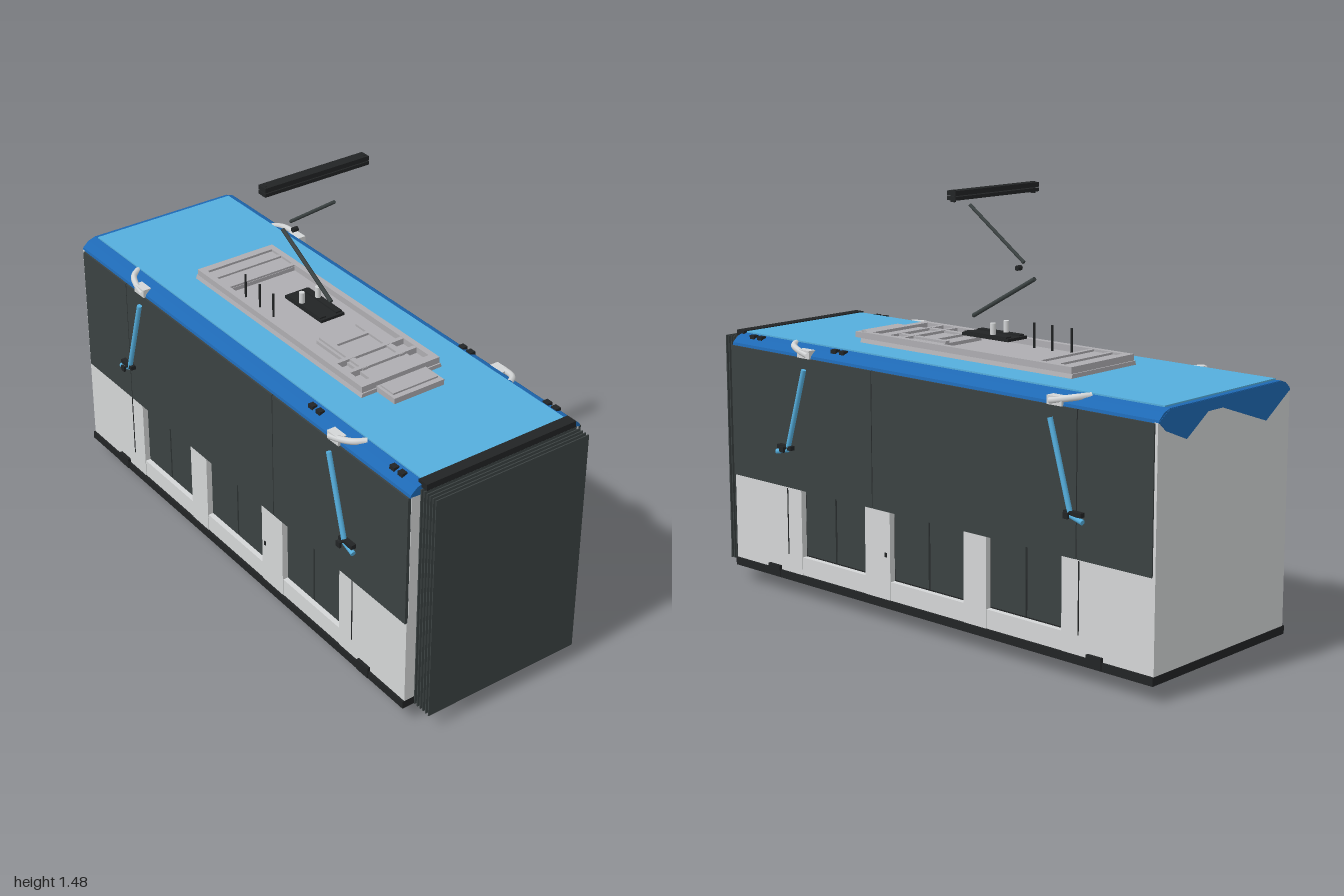
import * as THREE from 'three';

const mat = (name, color) => {
  const m = new THREE.MeshStandardMaterial({ color });
  m.name = name;
  return m;
};

export function createModel() {
  const root = new THREE.Group();
  root.name = 'tramSection';
  const white = mat('bodyWhite', 0xd4d6d7);
  const glass = mat('darkGlass', 0x3b4242);
  const black = mat('blackTrim', 0x222425);
  const sky = mat('lightBlue', 0x55aedd);
  const blue = mat('deepBlue', 0x1e69b4);
  const grey = mat('roofUnitGrey', 0xaeadb1);

  const add = (name, geo, material, parent = root) => {
    const m = new THREE.Mesh(geo, material);
    m.name = name;
    parent.add(m);
    return m;
  };
  // Box given by its extents on each axis
  const box = (name, material, x0, x1, y0, y1, z0, z1, parent = root) => {
    const g = new THREE.BoxGeometry(Math.abs(x1 - x0), y1 - y0, z1 - z0);
    g.translate((x0 + x1) / 2, (y0 + y1) / 2, (z0 + z1) / 2);
    return add(name, g, material, parent);
  };
  // Round bar between two points
  const bar = (name, material, a, b, r, parent = root) => {
    const p = new THREE.Vector3(...a), q = new THREE.Vector3(...b);
    const m = add(name, new THREE.CylinderGeometry(r, r, p.distanceTo(q), 10), material, parent);
    m.position.copy(p).lerp(q, 0.5);
    m.quaternion.setFromUnitVectors(new THREE.Vector3(0, 1, 0), q.sub(p).normalize());
    return m;
  };
  // Profile in x/y, extruded along z
  const extrude = (pts, z0, z1) => {
    const s = new THREE.Shape(pts.map(p => new THREE.Vector2(...p)));
    return new THREE.ExtrudeGeometry(s, { depth: z1 - z0, bevelEnabled: false }).translate(0, 0, z0);
  };

  // Body core, rear wall, skirt and floor
  box('bodyCore', white, -0.31, 0.31, 0.07, 0.885, -0.99, 0.918);
  box('rearWall', white, -0.338, 0.338, 0.08, 0.87, -0.998, -0.985);
  box('skirt', black, -0.345, 0.345, 0.057, 0.085, -1, 0.92);
  box('floor', blue, -0.33, 0.33, 0.052, 0.058, -0.985, 0.9);

  // Roof shell with sloped shoulders and a lighter top sheet
  const roof = [[-0.337, 0.868], [0.337, 0.868], [0.335, 0.878], [0.312, 0.898], [0.285, 0.907],
    [-0.285, 0.907], [-0.312, 0.898], [-0.335, 0.878]];
  add('roofShell', extrude(roof, -1, 0.92), blue);
  box('roofTop', sky, -0.283, 0.283, 0.904, 0.912, -0.98, 0.91);
  box('roofFrontSeal', black, -0.295, 0.295, 0.893, 0.915, 0.905, 0.945);
  // Jagged blue edge on the rear wall
  add('rearJaggedTrim', extrude([[-0.337, 0.872], [-0.21, 0.79], [0.07, 0.885], [0.2, 0.8],
    [0.3, 0.84], [0.337, 0.872], [0.285, 0.905], [-0.285, 0.905]], -1.001, -0.997), blue);

  // Sides, mirrored
  const doors = [[0.25, 0.57], [-0.21, 0.13], [-0.63, -0.31]];
  const panels = [[0.57, 0.92], [0.13, 0.25], [-0.31, -0.21], [-0.99, -0.63]];
  for (const s of [1, -1]) {
    const side = new THREE.Group();
    side.name = s > 0 ? 'leftSide' : 'rightSide';
    root.add(side);
    const sbox = (n, m, x0, x1, ...r) => box(n, m, s * x0, s * x1, ...r, side);

    for (const [a, b] of panels) sbox('lowerPanel', white, 0.3, 0.338, 0.085, 0.395, a, b);
    sbox('frontPost', white, 0.3, 0.332, 0.085, 0.87, 0.9, 0.92);
    for (const [a, b] of [[0.21, 0.918], [-0.69, 0.206], [-0.988, -0.694]])
      sbox('windowBand', glass, 0.3, 0.343, 0.395, 0.868, a, b);
    sbox('windowSeam', black, 0.3, 0.34, 0.4, 0.866, -0.985, 0.9);

    // Recessed double doors
    for (const [a, b] of doors) {
      sbox('doorSill', white, 0.3, 0.336, 0.085, 0.15, a, b);
      sbox('doorFrame', black, 0.3, 0.316, 0.15, 0.4, a, b);
      const mid = (a + b) / 2;
      sbox('doorLeaf', glass, 0.3, 0.322, 0.157, 0.4, a + 0.008, mid - 0.004);
      sbox('doorLeaf', glass, 0.3, 0.322, 0.157, 0.4, mid + 0.004, b - 0.008);
    }
    sbox('doorButton', black, 0.336, 0.341, 0.235, 0.25, 0.145, 0.153);

    // Mirror arms, mirrors, steps and curved roof rails at both ends
    for (const [z, d] of [[0.53, 1], [-0.59, -1]]) {
      const arm = [[0.352, 0.83, z], [0.354, 0.535, z + d * 0.088], [0.358, 0.522, z + d * 0.14]]
        .map(p => [s * p[0], p[1], p[2]]);
      bar('mirrorArm', sky, arm[0], arm[1], 0.009, side);
      bar('mirrorFoot', sky, arm[1], arm[2], 0.009, side);
      sbox('mirrorMount', black, 0.34, 0.362, 0.535, 0.55, z + d * 0.1 - 0.035, z + d * 0.1 + 0.035);
      bar('mirrorPin', black, [s * 0.34, 0.543, z + d * 0.09], [s * 0.383, 0.543, z + d * 0.09], 0.005, side);
      sbox('mirrorTip', black, 0.375, 0.383, 0.53, 0.55, z + d * 0.09 - 0.01, z + d * 0.09 + 0.01);
      sbox('step', black, 0.335, 0.349, 0.06, 0.1, z + d * 0.13 + d * 0.05 - 0.03, z + d * 0.18 + 0.03);
      sbox('panelSeam', black, 0.337, 0.3395, 0.15, 0.39, z + d * 0.11 - 0.002, z + d * 0.11 + 0.002);

      const curve = new THREE.CatmullRomCurve3([[0.285, 0.903, z + d * 0.11], [0.318, 0.9, z + d * 0.085],
        [0.335, 0.892, z + d * 0.045], [0.342, 0.88, z - d * 0.01]]
        .map(p => new THREE.Vector3(s * p[0], p[1], p[2])));
      add('roofRail', new THREE.TubeGeometry(curve, 16, 0.011, 8), white, side);
      sbox('roofRailBracket', white, 0.31, 0.345, 0.868, 0.897, z + d * 0.01 - 0.03, z + d * 0.01 + 0.03);
    }
    for (const z of [0.84, 0.8, 0.42, 0.38]) sbox('roofLamp', black, 0.295, 0.315, 0.893, 0.909, z - 0.012, z + 0.012);

    // Wheels showing below the floor
    for (const z of [0.21, -0.28]) {
      const wheel = add('wheel', new THREE.CylinderGeometry(0.092, 0.092, 0.036, 32).rotateZ(Math.PI / 2), glass, side);
      wheel.position.set(s * 0.192, 0.1, z);
      const flange = add('wheelFlange', new THREE.CylinderGeometry(0.1, 0.1, 0.01, 32).rotateZ(Math.PI / 2), black, side);
      flange.position.set(s * 0.173, 0.1, z);
    }
  }

  // Concertina sheets of the front gangway
  for (let i = 0; i < 6; i++) {
    const z = 0.926 + i * 0.0142;
    box('gangwaySheet', glass, -0.302, 0.302, 0.06, 0.89, z - 0.002, z + 0.002);
  }

  // Roof equipment tray with rim and cross ribs
  const unit = new THREE.Group();
  unit.name = 'roofUnit';
  root.add(unit);
  const foot = [[-0.163, 0.91], [0.163, 0.91], [0.158, 0.926], [-0.158, 0.926]];
  add('unitBase', extrude(foot, -0.515, 0.445), grey, unit);
  for (const s of [1, -1]) box('unitRim', grey, s * 0.135, s * 0.157, 0.92, 0.948, -0.5, 0.43, unit);
  for (const z of [-0.495, 0.425]) box('unitEnd', grey, -0.157, 0.157, 0.92, 0.948, z - 0.015, z + 0.015, unit);
  box('rearCover', grey, -0.14, 0.14, 0.92, 0.94, -0.49, -0.34, unit);
  for (const z of [-0.43, -0.35, 0.27, 0.34]) box('unitRib', grey, -0.14, 0.14, 0.92, 0.947, z - 0.008, z + 0.008, unit);
  box('frontCover', grey, -0.095, 0.095, 0.92, 0.938, 0.11, 0.43, unit);
  for (const x of [-0.075, 0.075]) box('coverRail', grey, x - 0.01, x + 0.01, 0.92, 0.946, 0.11, 0.35, unit);
  box('coverRib', grey, -0.085, 0.085, 0.92, 0.946, 0.165, 0.18, unit);
  box('unitNose', grey, -0.1, 0.1, 0.91, 0.932, 0.44, 0.535, unit);
  box('unitNoseRim', grey, -0.09, 0.09, 0.93, 0.938, 0.45, 0.515, unit);

  // Current collector
  const pan = new THREE.Group();
  pan.name = 'currentCollector';
  root.add(pan);
  box('collectorPlate', black, -0.047, 0.047, 0.968, 0.978, -0.14, 0.07, pan);
  for (const x of [-0.033, 0.033]) {
    bar('insulator', white, [x, 0.978, -0.06], [x, 1.022, -0.06], 0.01, pan);
    box('collectorSpring', black, x - 0.012, x + 0.012, 0.976, 0.983, -0.13, 0.06, pan);
  }
  bar('lowerArm', glass, [0, 1.03, 0.06], [0, 1.182, -0.215], 0.0075, pan);
  bar('elbowPin', black, [-0.01, 1.212, -0.145], [0.01, 1.212, -0.145], 0.009, pan);
  bar('upperArm', glass, [0, 1.232, -0.168], [0, 1.404, 0.075], 0.006, pan);
  for (const [y, r] of [[1.449, 0.006], [1.466, 0.008]])
    box('contactStrip', black, -0.205, 0.205, y - r, y + r, -0.052, -0.014, pan);
  for (const x of [-0.195, 0.195]) box('stripEnd', black, x - 0.004, x + 0.004, 1.437, 1.476, -0.042, -0.024, pan);
  for (const z of [-0.12, -0.2, -0.285]) bar('roofPin', black, [-0.108, 0.92, z], [-0.108, 1.013, z], 0.004, pan);

  return root;
}
